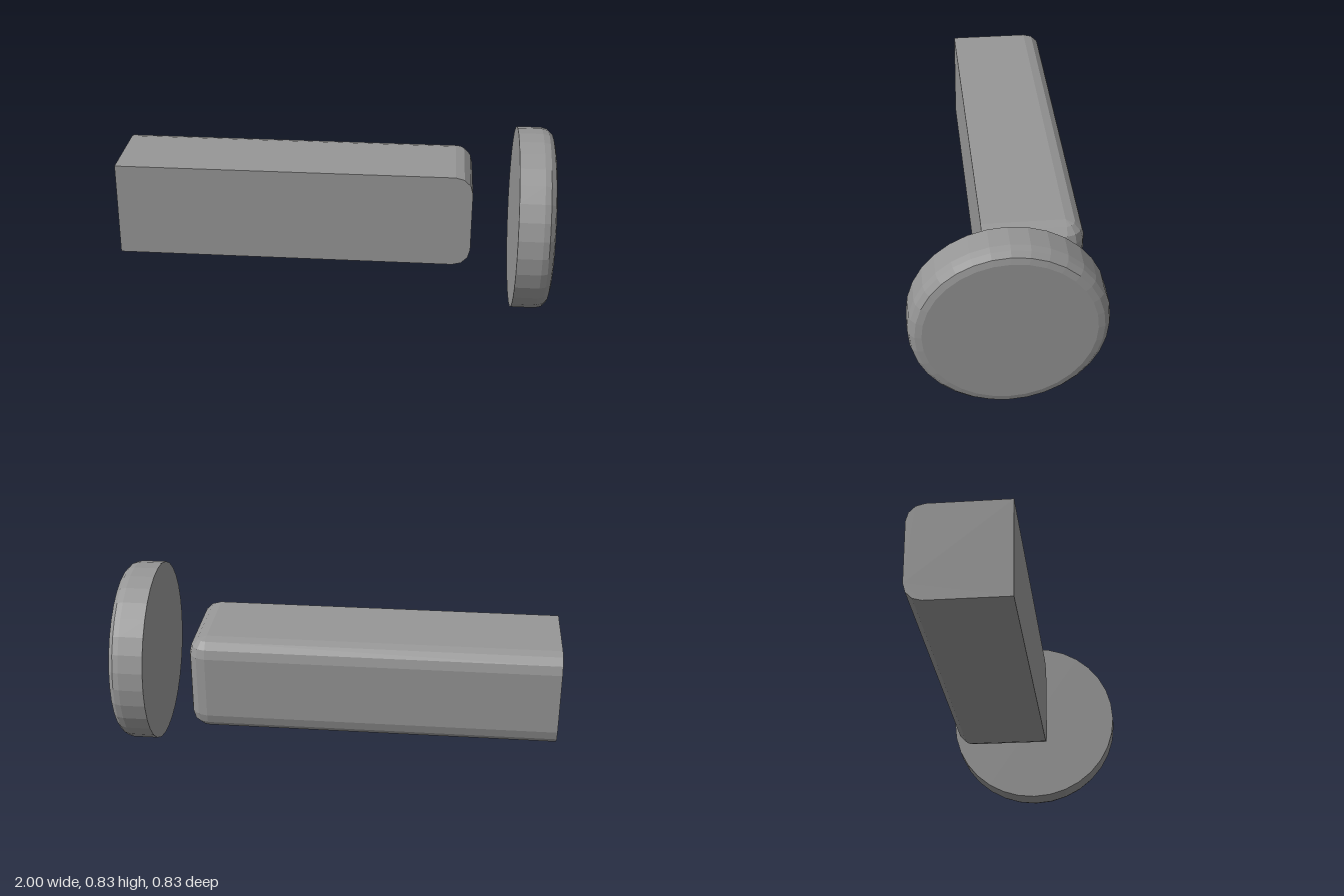
import * as THREE from 'three';
import { ConvexGeometry } from 'three/addons/geometries/ConvexGeometry.js';

const material = new THREE.MeshStandardMaterial({ color: 0x969696, flatShading: true });
const STEPS = 3; // facets per rounded edge
const quarter = (i) => (i / STEPS) * Math.PI / 2;

// Square bar: rounded on the +x end and along the back edges, sharp at the front and -x end
function createBar() {
  const xMin = -1, xMax = 0.643, zMin = -0.358, zMax = 0.083;
  const yMid = 0.418, half = 0.221, r = 0.08;
  const points = [];
  for (const s of [-1, 1]) {
    const y = (h) => yMid + s * (half - r + r * h);
    for (let i = 0; i <= STEPS; i++) {
      const a = quarter(i), c = Math.cos(a), h = Math.sin(a);
      points.push(new THREE.Vector3(xMin, y(h), zMin + r - r * c)); // back edge at -x end
      points.push(new THREE.Vector3(xMax - r + r * c, y(h), zMax)); // end edge at the front
      // spherical corner where the rounded edges meet
      for (let j = 0; j <= (i === STEPS ? 0 : STEPS); j++) {
        const b = quarter(j);
        points.push(new THREE.Vector3(
          xMax - r + r * c * Math.cos(b), y(h), zMin + r - r * c * Math.sin(b)));
      }
    }
    points.push(new THREE.Vector3(xMin, yMid + s * half, zMax)); // sharp front corner
  }
  const mesh = new THREE.Mesh(new ConvexGeometry(points), material);
  mesh.name = 'bar';
  return mesh;
}

// Upright disc: flat sharp inner face, rounded outer rim
function createDisc() {
  const radius = 0.416, depth = 0.166, r = 0.056;
  const profile = [new THREE.Vector2(0, 0), new THREE.Vector2(radius, 0)];
  for (let i = 0; i <= STEPS; i++) {
    const a = quarter(i);
    profile.push(new THREE.Vector2(radius - r + r * Math.cos(a), depth - r + r * Math.sin(a)));
  }
  profile.push(new THREE.Vector2(0, depth));
  const geometry = new THREE.LatheGeometry(profile, 32);
  geometry.rotateZ(-Math.PI / 2);
  const mesh = new THREE.Mesh(geometry, material);
  mesh.name = 'disc';
  mesh.position.set(1 - depth, 0.416, 0);
  return mesh;
}

export function createModel() {
  const group = new THREE.Group();
  group.name = 'barAndDisc';
  group.add(createBar(), createDisc());
  return group;
}
